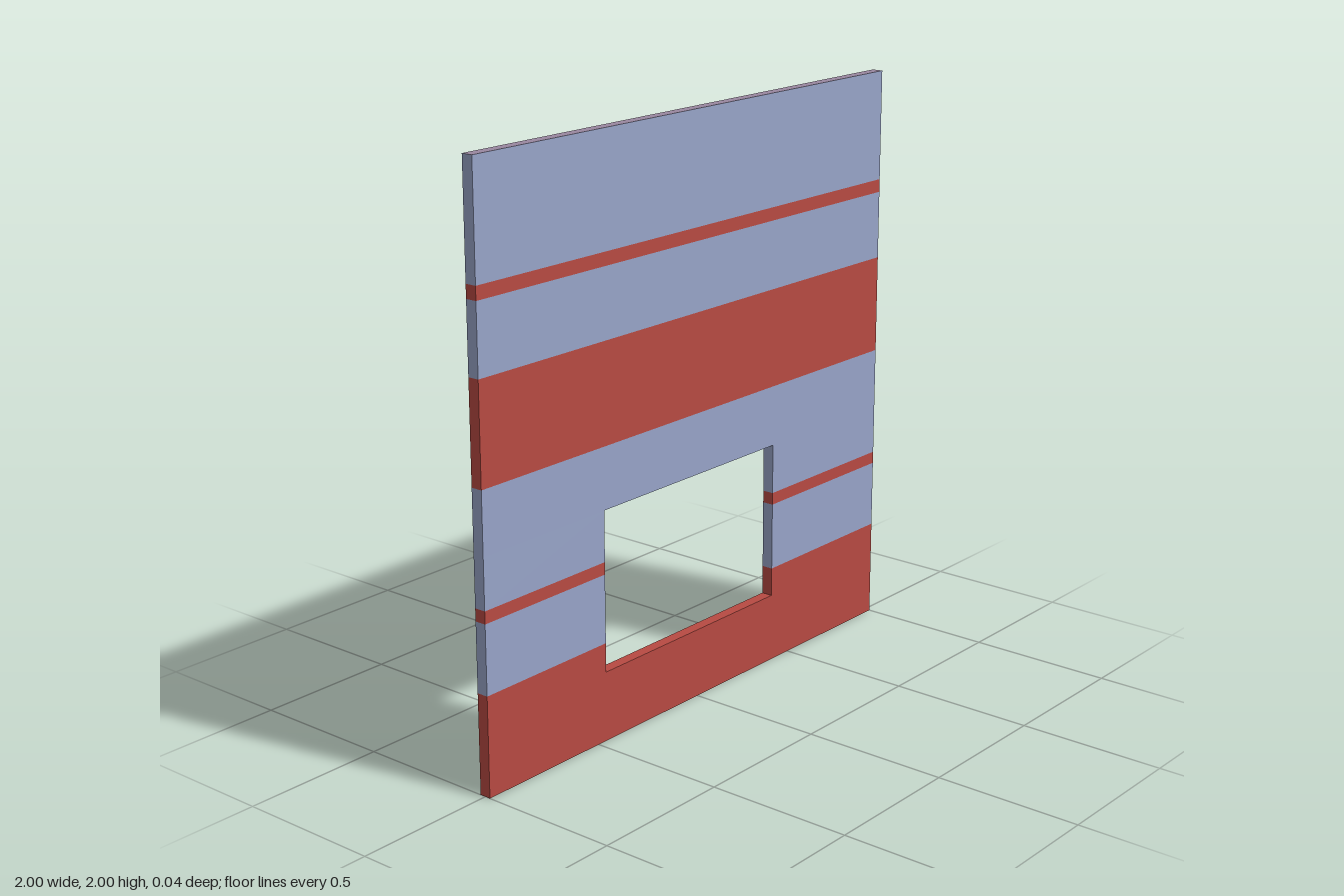
import * as THREE from 'three';

const mat = (name, color) => {
  const m = new THREE.MeshStandardMaterial({ color });
  m.name = name;
  return m;
};

export function createModel() {
  const group = new THREE.Group();
  group.name = 'wallPanel';
  const blue = mat('greyBlue', 0x98a4c8);
  const red = mat('brickRed', 0xb84a42);
  const mauve = mat('mauveEdge', 0x9a87a0);
  const dark = mat('darkEdge', 0x55495c);

  const depth = 0.04;
  const hole = { x0: -0.46, x1: 0.405, y0: 0.24, y1: 0.79 };

  // One block of the wall; the outer top and bottom edges have their own colours
  function block(name, x0, x1, y0, y1, m) {
    const faces = [m, m, y1 === 2 ? mauve : m, y0 === 0 ? dark : m, m, m];
    const mesh = new THREE.Mesh(new THREE.BoxGeometry(x1 - x0, y1 - y0, depth), faces);
    mesh.position.set((x0 + x1) / 2, (y0 + y1) / 2, 0);
    mesh.name = name;
    group.add(mesh);
  }

  // Band limits from the ground up, cut at the sill and head of the window opening
  const bands = [
    ['baseBand', 0, hole.y0, red],
    ['baseBandUpper', hole.y0, 0.34, red],
    ['lowerWall', 0.34, 0.575, blue],
    ['lowerStripe', 0.575, 0.617, red],
    ['middleWall', 0.617, hole.y1, blue],
    ['lintelWall', hole.y1, 1, blue],
    ['middleBand', 1, 1.34, red],
    ['upperWall', 1.34, 1.575, blue],
    ['upperStripe', 1.575, 1.62, red],
    ['topWall', 1.62, 2, blue],
  ];
  for (const [name, y0, y1, m] of bands) {
    if (y0 >= hole.y0 && y1 <= hole.y1) {
      // Beside the opening
      block(name + 'Right', -1, hole.x0, y0, y1, m);
      block(name + 'Left', hole.x1, 1, y0, y1, m);
    } else {
      block(name, -1, 1, y0, y1, m);
    }
  }
  return group;
}
